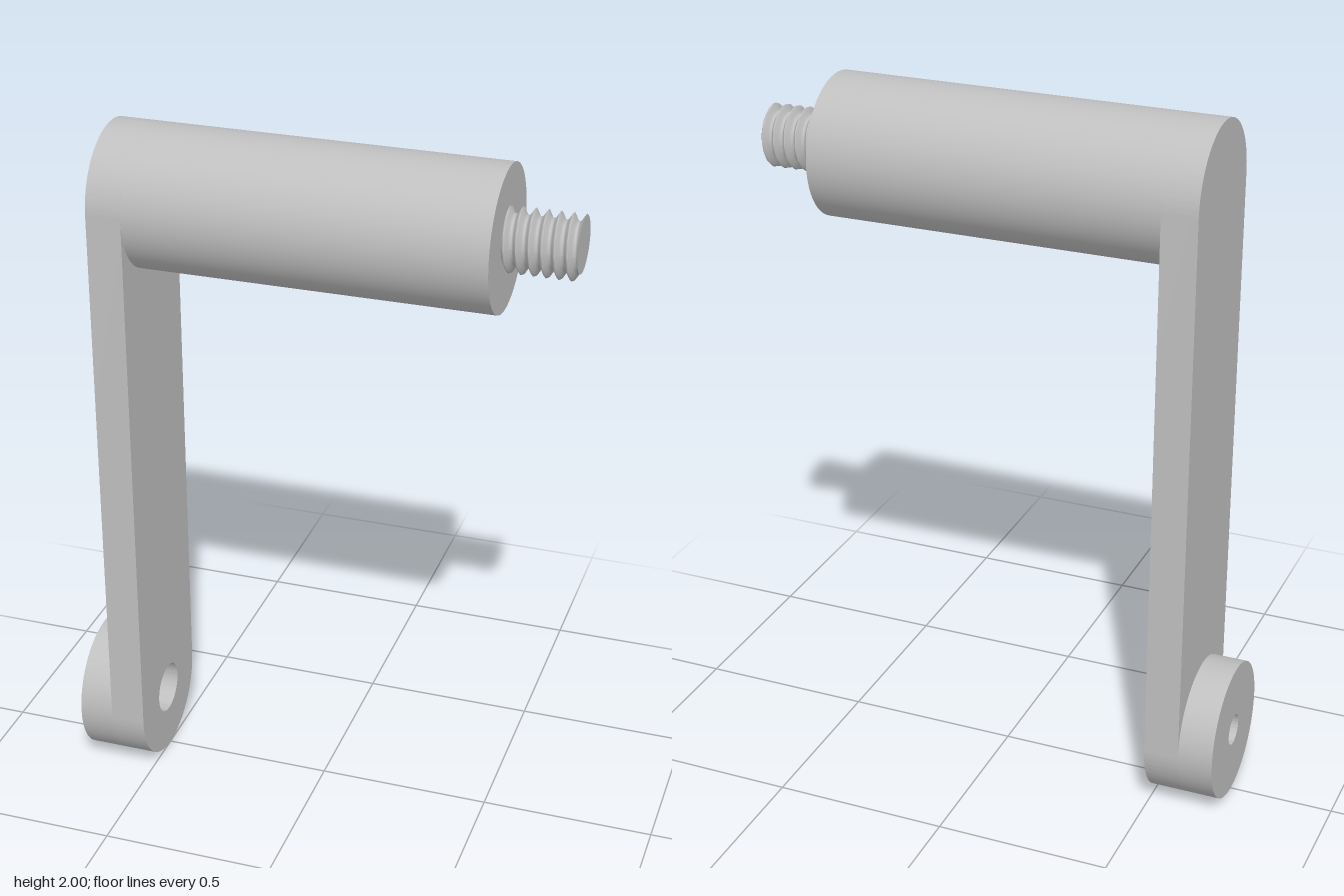
import * as THREE from 'three';
import { toCreasedNormals } from 'three/addons/utils/BufferGeometryUtils.js';

const R = 0.2;          // radius of the arm ends, handle and boss
const TOP = 1.8, BOTTOM = 0.2; // heights of the two axes

// Extrude a (z, y) outline along x, starting at x0
function extrudeAlongX(shape, x0, depth) {
  const geo = new THREE.ExtrudeGeometry(shape, { depth, bevelEnabled: false, curveSegments: 48 });
  geo.rotateY(Math.PI / 2).translate(x0, 0, 0);
  return toCreasedNormals(geo, 0.5);
}

function addHole(shape, radius) {
  shape.holes.push(new THREE.Path().absarc(0, BOTTOM, radius, 0, Math.PI * 2, true));
  return shape;
}

// Screw with a single-start helical ridge around x
function screwGeometry(x0, x1) {
  const length = x1 - x0, pitch = length / 6, root = 0.068, crest = 0.089;
  const geo = new THREE.CylinderGeometry(1, 1, length, 64, 72);
  geo.rotateZ(-Math.PI / 2);
  const p = geo.attributes.position;
  for (let i = 0; i < p.count; i++) {
    const x = p.getX(i), y = p.getY(i), z = p.getZ(i);
    const turn = (x - length / 2) / pitch - Math.atan2(z, y) / (Math.PI * 2);
    const fromCrest = Math.abs(turn - Math.round(turn)) * 2;
    const r = crest + (root - crest) * Math.min(1, fromCrest * 1.3);
    p.setXYZ(i, x, y * r, z * r);
  }
  geo.computeVertexNormals();
  return geo.translate((x0 + x1) / 2, TOP, 0);
}

export function createModel() {
  const group = new THREE.Group();
  const metal = new THREE.MeshStandardMaterial({ color: 0xbfbfbf });
  metal.name = 'grey metal';
  const add = (name, geo) => {
    const mesh = new THREE.Mesh(geo, metal);
    mesh.name = name;
    group.add(mesh);
  };

  // Upright arm with round ends and the wide part of the bore
  const armShape = new THREE.Shape();
  armShape.absarc(0, TOP, R, 0, Math.PI, false);
  armShape.absarc(0, BOTTOM, R, Math.PI, Math.PI * 2, false);
  armShape.closePath();
  add('arm', extrudeAlongX(addHole(armShape, 0.075), -0.6, 0.1));

  // Boss behind the arm, with the narrow part of the bore
  const bossShape = new THREE.Shape().absarc(0, BOTTOM, R, 0, Math.PI * 2, false);
  add('boss', extrudeAlongX(addHole(bossShape, 0.045), -0.7, 0.1));

  // Round handle
  const handle = new THREE.CylinderGeometry(R, R, 1, 96);
  add('handle', handle.rotateZ(-Math.PI / 2).translate(0, TOP, 0));

  // Threaded end
  add('screwThread', screwGeometry(0.5, 0.7));

  return group;
}
